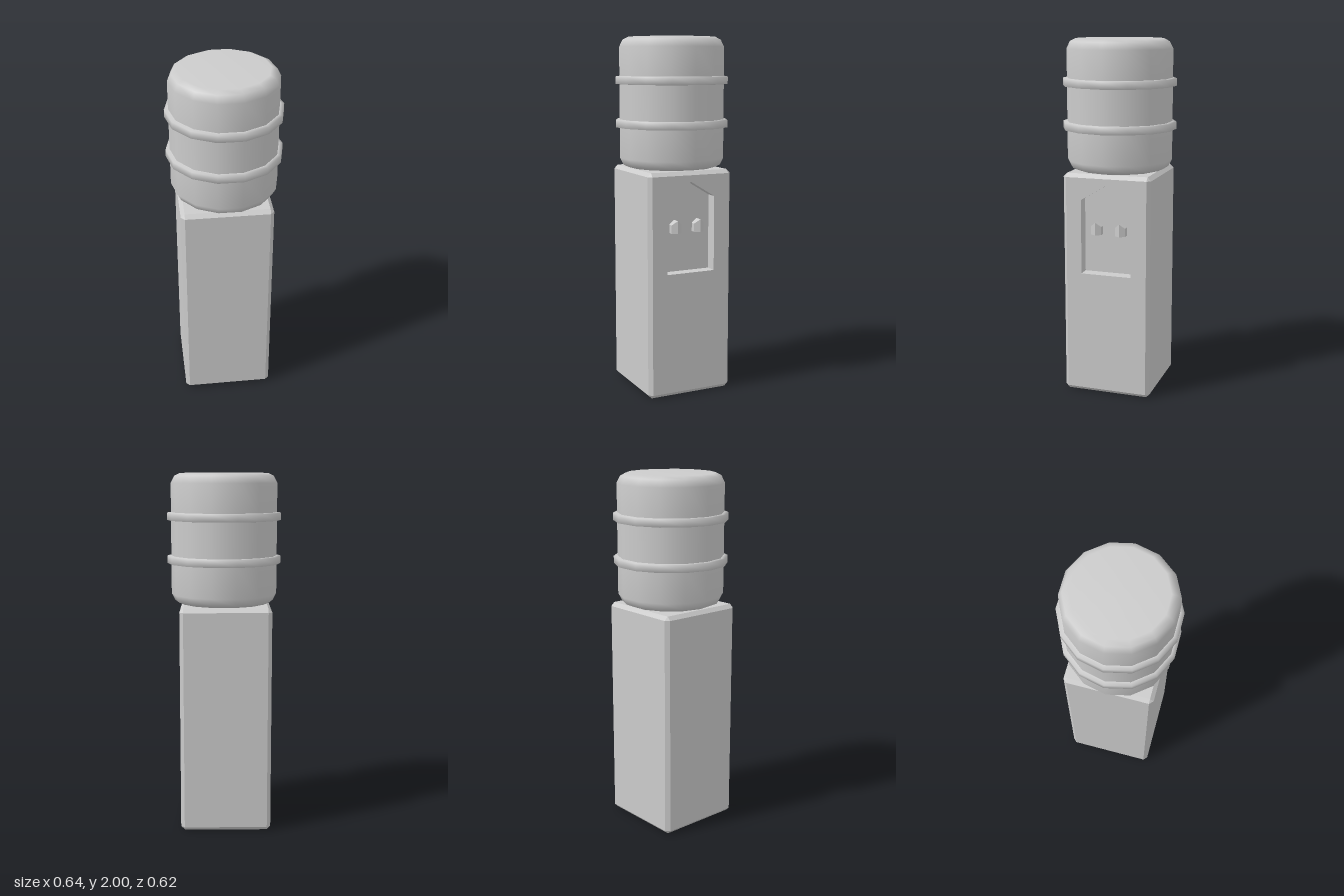
import * as THREE from 'three';
import { ConvexGeometry } from 'three/addons/geometries/ConvexGeometry.js';

const X0 = -0.263, X1 = 0.245, HALF_Z = 0.253, H = 1.272, C = 0.021, DEPTH = 0.068;

const v2 = (x, y) => new THREE.Vector2(x, y);

// Gabled outline, drawn in a (-z, y) plane
const gable = (w, y0, y1, peak) => [v2(-w, y0), v2(w, y0), v2(w, y1), v2(0, peak), v2(-w, y1)];

// Drop the triangles lying wholly on the plane x = value
function openAtX(geometry, value) {
  const p = geometry.attributes.position, kept = [];
  for (let i = 0; i < p.count; i += 3) {
    const on = [0, 1, 2].every(k => Math.abs(p.getX(i + k) - value) < 1e-4);
    if (!on) for (let k = 0; k < 3; k++) kept.push(p.getX(i + k), p.getY(i + k), p.getZ(i + k));
  }
  const out = new THREE.BufferGeometry();
  out.setAttribute('position', new THREE.Float32BufferAttribute(kept, 3));
  out.computeVertexNormals();
  return out;
}

// Box with every edge chamfered, as a convex hull of 24 corners
function chamferedBox() {
  const points = [];
  for (const sx of [-1, 1]) for (const sy of [-1, 1]) for (const sz of [-1, 1])
    for (let inset = 0; inset < 3; inset++) {
      const c = [C, C, C];
      c[inset] = 0;
      points.push(new THREE.Vector3(
        sx < 0 ? X0 + c[0] : X1 - c[0],
        sy < 0 ? c[1] : H - c[1],
        sz * (HALF_Z - c[2])));
    }
  return new ConvexGeometry(points);
}

// Half of a tap: a gabled block whose middle ridge stands further out
function tapHalf(side) {
  const shape = new THREE.Shape([v2(0, 0), v2(side * 0.03, 0), v2(side * 0.03, 0.047), v2(0, 0.072)]);
  const g = new THREE.ExtrudeGeometry(shape, { depth: 0.03, bevelEnabled: false });
  const p = g.attributes.position;
  for (let i = 0; i < p.count; i++)
    if (p.getZ(i) > 0.01 && Math.abs(p.getX(i)) < 1e-4) p.setZ(i, 0.047);
  g.computeVertexNormals();
  return g.rotateY(Math.PI / 2);
}

export function createModel() {
  const model = new THREE.Group();
  const flat = new THREE.MeshStandardMaterial({ color: 0xcccccc, flatShading: true });
  const inner = new THREE.MeshStandardMaterial({ color: 0xcccccc, flatShading: true, side: THREE.DoubleSide });
  const smooth = new THREE.MeshStandardMaterial({ color: 0xcccccc });
  const add = (name, geometry, material, parent = model) => {
    const mesh = new THREE.Mesh(geometry, material);
    mesh.name = name;
    parent.add(mesh);
    return mesh;
  };

  // Cabinet, open on the dispensing side
  add('cabinet', openAtX(chamferedBox(), X1), flat);

  // Dispensing panel with a gabled opening
  const niche = gable(0.145, 0.705, 1.127, 1.215);
  const w = HALF_Z - C;
  const panel = new THREE.Shape([v2(-w, C), v2(w, C), v2(w, H - C), v2(-w, H - C)]);
  panel.holes.push(new THREE.Path(niche));
  add('dispenserPanel', new THREE.ShapeGeometry(panel).rotateY(Math.PI / 2).translate(X1, 0, 0), flat);

  // Niche walls and back
  const recess = new THREE.ExtrudeGeometry(new THREE.Shape(niche), { depth: DEPTH, bevelEnabled: false })
    .rotateY(Math.PI / 2).translate(X1 - DEPTH, 0, 0);
  add('dispenserNiche', openAtX(recess, X1), inner);

  // Pair of taps
  for (const z of [0.07, -0.07]) {
    const tap = new THREE.Group();
    tap.name = z > 0 ? 'frontTap' : 'rearTap';
    tap.position.set(X1 - DEPTH, 0.926, z);
    for (const side of [-1, 1]) add('tapHalf', tapHalf(side), flat, tap);
    model.add(tap);
  }

  // Bottle: rounded drum with two raised hoops; doubled points keep creases
  const R = 0.297, HOOP = 0.319;
  const profile = [v2(0, 1.277), v2(0.245, 1.277), v2(0.277, 1.291), v2(R, 1.33)];
  for (const y of [1.5, 1.74])
    profile.push(v2(R, y), v2(R, y), v2(HOOP, y + 0.002), v2(HOOP, y + 0.043), v2(R, y + 0.046), v2(R, y + 0.046));
  profile.push(v2(R, 1.945), v2(0.277, 1.984), v2(0.245, 2), v2(0, 2));
  add('waterBottle', new THREE.LatheGeometry(profile, 14, Math.PI / 2), smooth);

  return model;
}
